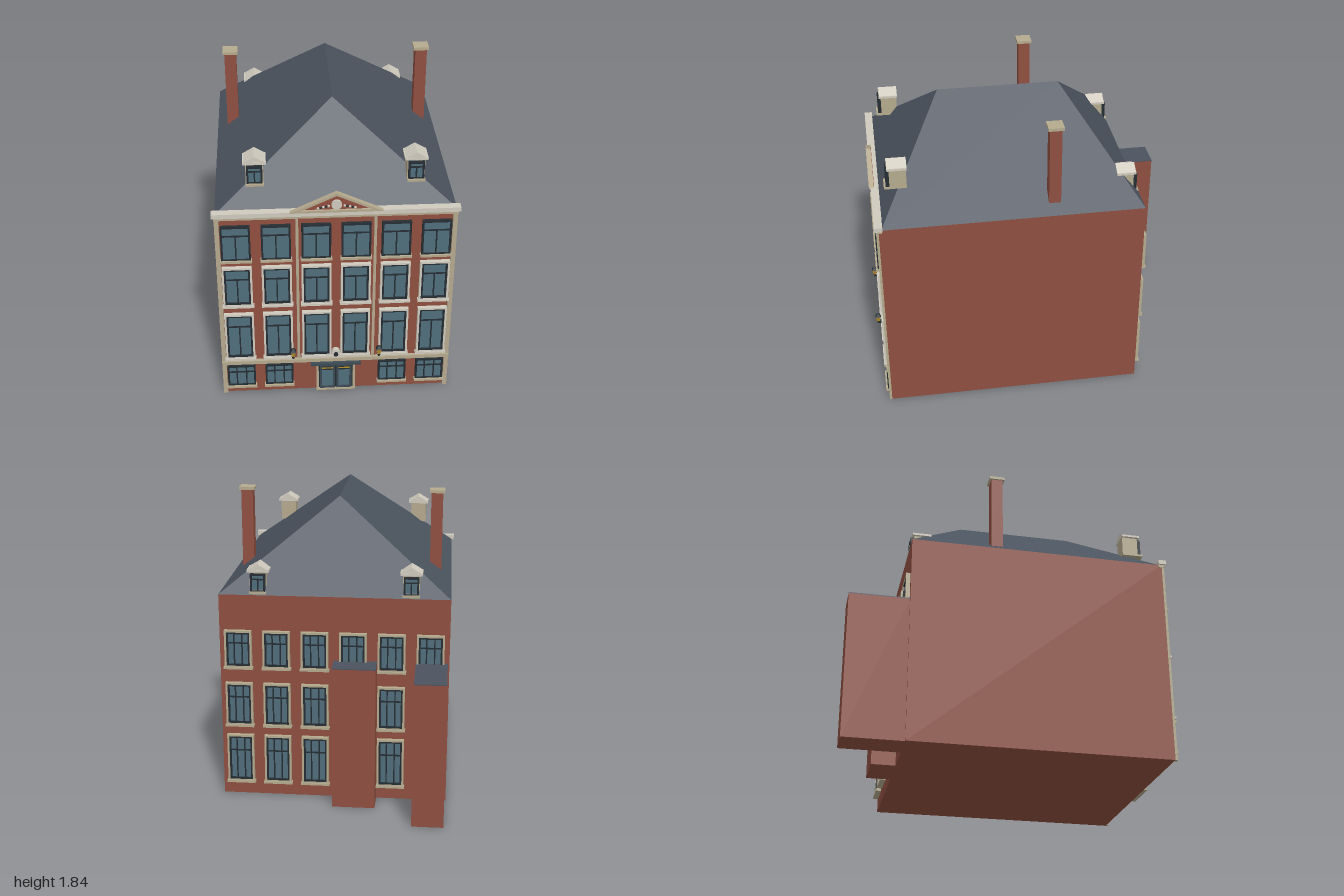
import * as THREE from 'three';

const COLORS = {
  brick: 0x8f4f40, slate: 0x4b535e, stone: 0xb5aa8e, light: 0xcfcabd,
  glass: 0x4f6d7b, dark: 0x252d33, door: 0x3c4a54, gold: 0xb08a2a,
};
const mats = {};
const mat = (c) => (mats[c] ??= new THREE.MeshStandardMaterial({ color: COLORS[c], flatShading: true }));

function add(parent, name, geometry, color, x = 0, y = 0, z = 0) {
  const m = new THREE.Mesh(geometry, mat(color));
  m.name = name;
  m.position.set(x, y, z);
  parent.add(m);
  return m;
}

// Box given by its extents
function box(parent, name, color, x0, x1, y0, y1, z0, z1) {
  return add(parent, name, new THREE.BoxGeometry(x1 - x0, y1 - y0, z1 - z0), color,
    (x0 + x1) / 2, (y0 + y1) / 2, (z0 + z1) / 2);
}

function group(parent, name, x = 0, y = 0, z = 0) {
  const g = new THREE.Group();
  g.name = name;
  g.position.set(x, y, z);
  parent.add(g);
  return g;
}

// Four bars around a rectangle
function frame(parent, name, color, w, h, t, z0, z1) {
  box(parent, name, color, -w / 2, -w / 2 + t, 0, h, z0, z1);
  box(parent, name, color, w / 2 - t, w / 2, 0, h, z0, z1);
  box(parent, name, color, -w / 2 + t, w / 2 - t, 0, t, z0, z1);
  box(parent, name, color, -w / 2 + t, w / 2 - t, h - t, h, z0, z1);
}

// Sash window facing +z, its base at y = 0 and the wall at z = 0
function sash(parent, name, x, y, z, w, h, { surround = null, bars = [0], transom = 0.7, full = false } = {}) {
  const g = group(parent, name, x, y, z);
  let iw = w, ih = h, y0 = 0;
  if (surround) {
    frame(g, 'surround', surround, w, h, 0.012, 0, 0.026);
    iw = w - 0.024; ih = h - 0.024; y0 = 0.012;
  }
  const inner = group(g, 'sash', 0, y0, 0);
  frame(inner, 'sashFrame', 'dark', iw, ih, 0.011, 0, 0.022);
  box(inner, 'pane', 'glass', -iw / 2 + 0.01, iw / 2 - 0.01, 0.01, ih - 0.01, 0, 0.012);
  const ty = ih * transom;
  box(inner, 'transom', 'dark', -iw / 2 + 0.01, iw / 2 - 0.01, ty - 0.004, ty + 0.004, 0.01, 0.018);
  for (const b of bars) {
    box(inner, 'mullion', 'dark', b * iw - 0.004, b * iw + 0.004, 0.01, full ? ih - 0.01 : ty, 0.01, 0.018);
  }
  box(g, 'sill', surround || 'stone', -w / 2 - 0.006, w / 2 + 0.006, -0.008, 0.006, 0, 0.033);
  return g;
}

// Triangular prism, centred on x, running from z0 to z1
function gable(parent, name, color, half, y0, y1, z0, z1) {
  const s = new THREE.Shape([new THREE.Vector2(-half, y0), new THREE.Vector2(half, y0), new THREE.Vector2(0, y1)]);
  return add(parent, name, new THREE.ExtrudeGeometry(s, { depth: z1 - z0, bevelEnabled: false }), color, 0, 0, z0);
}

// Dormer with its front face at z = 0
function dormer(parent, name, x, y, z, back) {
  const g = group(parent, name, x, y, z);
  if (back) g.rotation.y = Math.PI;
  box(g, 'dormerBody', 'stone', -0.05, 0.05, 0, 0.135, -0.1, 0);
  sash(g, 'dormerWindow', 0, 0.008, 0, 0.09, 0.112);
  box(g, 'dormerEaves', 'light', -0.066, 0.066, 0.128, 0.142, -0.105, 0.012);
  gable(g, 'dormerRoof', 'light', 0.06, 0.142, 0.178, -0.105, 0.01);
}

function hipRoof(parent) {
  const A = [-0.69, 1.29, 0.92], B = [0.69, 1.29, 0.92], C = [0.69, 1.29, -0.64], D = [-0.69, 1.29, -0.64];
  const F = [0, 1.815, 0.515], R = [0, 1.815, -0.225];
  const tris = [A, B, F, B, C, R, B, R, F, C, D, R, D, A, F, D, F, R];
  const geo = new THREE.BufferGeometry();
  geo.setAttribute('position', new THREE.Float32BufferAttribute(tris.flat(), 3));
  geo.computeVertexNormals();
  add(parent, 'hipRoof', geo, 'slate');
}

export function createModel() {
  const house = new THREE.Group();
  house.name = 'townHouse';
  const WALL = 0.935;

  // Main block, roof and rear wings
  box(house, 'mainBlock', 'brick', -0.69, 0.69, 0, 1.29, -0.64, WALL);
  hipRoof(house);
  for (const [x0, x1, z] of [[-0.68, -0.49, -1], [-0.26, 0, -0.785]]) {
    box(house, 'rearWing', 'brick', x0, x1, 0, 0.89, z, -0.64);
    box(house, 'rearWingRoof', 'slate', x0, x1, 0.89, 0.896, z, -0.64);
  }

  // Chimneys and dormers
  for (const s of [-1, 1]) {
    const c = group(house, 'chimney', s * 0.59, 0, -0.105);
    box(c, 'chimneyStack', 'brick', -0.036, 0.036, 1.34, 1.825, -0.036, 0.036);
    box(c, 'chimneyCap', 'stone', -0.047, 0.047, 1.825, 1.843, -0.047, 0.047);
    dormer(house, 'frontDormer', s * 0.455, 1.45, 0.85, false);
    dormer(house, 'rearDormer', s * 0.455, 1.295, -0.605, true);
  }

  // Front trim: pilasters, belt course and cornice
  for (const s of [-1, 1]) {
    box(house, 'cornerPilaster', 'stone', s * 0.68 - 0.013, s * 0.68 + 0.013, 0, 1.285, WALL, 0.95);
    box(house, 'innerPilaster', 'stone', s * 0.225 - 0.008, s * 0.225 + 0.008, 0.25, 1.285, WALL, 0.947);
  }
  box(house, 'beltCourse', 'stone', -0.693, 0.693, 0.226, 0.25, WALL, 0.957);
  box(house, 'corniceBed', 'stone', -0.695, 0.695, 1.272, 1.29, 0.915, 0.952);
  box(house, 'cornice', 'light', -0.707, 0.707, 1.29, 1.318, 0.912, 0.96);

  // Pediment with medallion and garlands
  const ped = group(house, 'pediment');
  gable(ped, 'tympanum', 'brick', 0.245, 1.318, 1.43, 0.938, 0.957);
  const rake = new THREE.Shape([[-0.265, 1.318], [0.265, 1.318], [0, 1.443]].map((p) => new THREE.Vector2(...p)));
  rake.holes.push(new THREE.Path([[-0.2, 1.332], [0, 1.426], [0.2, 1.332]].map((p) => new THREE.Vector2(...p))));
  add(ped, 'pedimentMoulding', new THREE.ExtrudeGeometry(rake, { depth: 0.03, bevelEnabled: false }), 'stone', 0, 0, 0.94);
  const disc = add(ped, 'medallion', new THREE.CylinderGeometry(0.03, 0.03, 0.014, 20), 'light', 0, 1.366, 0.962);
  disc.rotation.x = Math.PI / 2;
  for (const s of [-1, 1]) for (let i = 0; i < 5; i++) {
    add(ped, 'garland', new THREE.SphereGeometry(0.008, 6, 4), i % 2 ? 'dark' : 'light',
      s * (0.045 + i * 0.015), 1.356 - i * 0.0035, 0.96);
  }

  // Windows: front floors, ground floor and rear
  const columns = [-0.577, -0.346, -0.115, 0.115, 0.346, 0.577];
  for (const x of columns) {
    sash(house, 'firstFloorWindow', x, 0.275, WALL, 0.175, 0.335, { surround: 'light', transom: 0.73 });
    sash(house, 'secondFloorWindow', x, 0.672, WALL, 0.175, 0.275, { surround: 'light', transom: 0.7 });
    sash(house, 'thirdFloorWindow', x, 0.995, WALL, 0.17, 0.235, { transom: 0.72 });
    if (Math.abs(x) > 0.2) {
      sash(house, 'groundFloorWindow', x, 0.058, WALL, 0.17, 0.157, { bars: [-0.17, 0.17], transom: 0.68, full: true });
    }
    for (const [y, h] of [[0.09, 0.31], [0.465, 0.275], [0.838, 0.235]]) {
      sash(house, 'rearWindow', x, y, -0.64, 0.165, h, { surround: 'stone', bars: [-0.17, 0.17], transom: 0.68, full: true })
        .rotation.y = Math.PI;
    }
  }

  // Double door
  const door = group(house, 'entrance', 0, 0, WALL);
  box(door, 'doorPanel', 'dark', -0.105, 0.105, 0.008, 0.206, 0, 0.012);
  box(door, 'doorLintel', 'door', -0.153, 0.153, 0.203, 0.217, 0, 0.035);
  box(door, 'doorStep', 'stone', -0.12, 0.12, 0, 0.012, 0, 0.024);
  for (const s of [-1, 1]) {
    box(door, 'doorPost', 'stone', s * 0.112 - 0.007, s * 0.112 + 0.007, 0, 0.203, 0, 0.02);
    const leaf = group(door, 'doorLeaf', s * 0.051, 0.015, 0);
    frame(leaf, 'leafFrame', 'door', 0.094, 0.185, 0.014, 0, 0.022);
    box(leaf, 'leafGlass', 'glass', -0.034, 0.034, 0.012, 0.135, 0, 0.016);
    box(leaf, 'leafRail', 'gold', -0.034, 0.034, 0.15, 0.155, 0.01, 0.018);
  }

  // Oval plaque above the door
  const plaque = group(house, 'plaque', 0, 0.288, 0.95);
  for (const [r, d, c] of [[0.026, 0.03, 'light'], [0.014, 0.036, 'dark']]) {
    const p = add(plaque, 'plaqueDisc', new THREE.CylinderGeometry(r, r, d, 16), c);
    p.rotation.x = Math.PI / 2;
    p.scale.z = 1.25;
  }

  // Wall lanterns
  for (const s of [-1, 1]) {
    const l = group(house, 'lantern', s * 0.26, 0.27, 0.982);
    box(l, 'lanternBracket', 'dark', -0.005, 0.005, 0.012, 0.022, -0.047, 0.005);
    const add4 = (name, rt, rb, y0, y1, c) => {
      add(l, name, new THREE.CylinderGeometry(rt, rb, y1 - y0, 4), c, 0, (y0 + y1) / 2, 0).rotation.y = Math.PI / 4;
    };
    add4('lanternBase', 0.014, 0.006, 0.01, 0.03, 'dark');
    add4('lanternGlass', 0.02, 0.013, 0.03, 0.065, 'gold');
    add4('lanternCap', 0.004, 0.025, 0.065, 0.09, 'dark');
  }
  return house;
}
